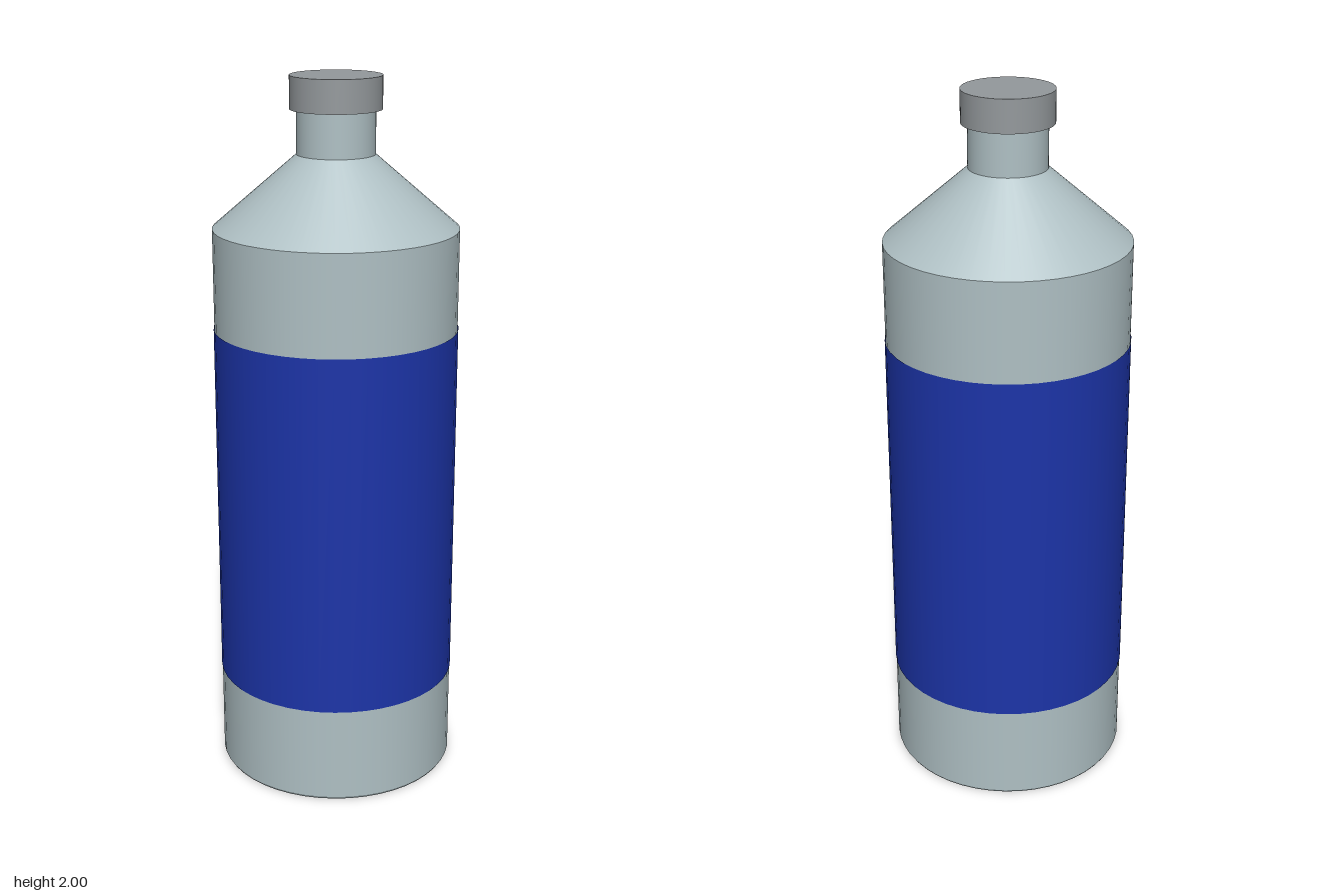
import * as THREE from 'three';

const SIDES = 48;

// Stack of smooth bands with hard edges between them; profile is [radius, y] from bottom to top.
function turned(name, profile, material) {
  const group = new THREE.Group();
  group.name = name;
  for (let i = 0; i < profile.length - 1; i++) {
    const points = [profile[i], profile[i + 1]].map(([r, y]) => new THREE.Vector2(r, y));
    const band = new THREE.Mesh(new THREE.LatheGeometry(points, SIDES), material);
    band.name = `${name}Band${i + 1}`;
    group.add(band);
  }
  return group;
}

export function createModel() {
  const bottle = new THREE.Group();
  bottle.name = 'bottle';

  const plastic = new THREE.MeshStandardMaterial({ color: 0xafc0c4 });
  const labelBlue = new THREE.MeshStandardMaterial({ color: 0x1c34a8, side: THREE.DoubleSide });
  const capGrey = new THREE.MeshStandardMaterial({ color: 0x94999c });

  // Base, straight wall, sloping shoulder and neck
  bottle.add(turned('body', [
    [0, 0], [0.335, 0], [0.34, 0.008], [0.34, 1.59],
    [0.108, 1.79], [0.108, 1.91],
  ], plastic));

  // Label wrapped around the wall
  const label = new THREE.Mesh(
    new THREE.CylinderGeometry(0.342, 0.342, 1.03, SIDES, 1, true), labelBlue);
  label.name = 'label';
  label.position.y = 0.795;
  bottle.add(label);

  // Closed cap, slightly wider than the neck
  const cap = new THREE.Mesh(new THREE.CylinderGeometry(0.126, 0.126, 0.09, SIDES), capGrey);
  cap.name = 'cap';
  cap.position.y = 1.955;
  bottle.add(cap);

  return bottle;
}
